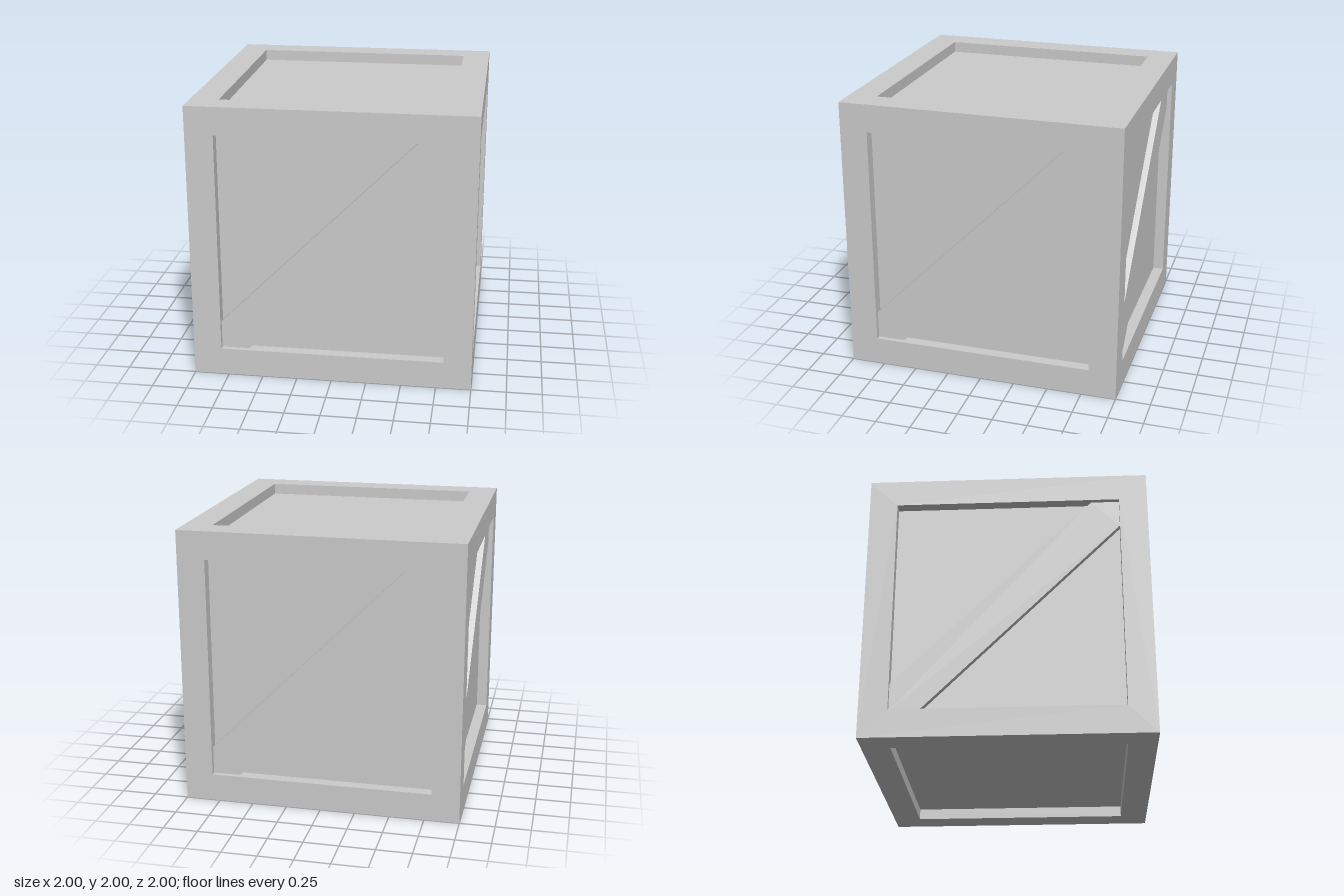
import * as THREE from 'three';

const HALF = 1;       // half the crate's edge
const INNER = 0.8;    // half the frame opening
const PANEL = 0.92;   // distance of each recessed panel from the centre
const BRACE = 0.966;  // distance of each brace's outer face from the centre

function square(PathType, h) {
  return new PathType([[-h, -h], [h, -h], [h, h], [-h, h]].map(([x, y]) => new THREE.Vector2(x, y)));
}

export function createModel() {
  const model = new THREE.Group();
  model.name = 'crate';
  const solid = new THREE.MeshStandardMaterial({ color: 0xcccccc, flatShading: true });
  const open = new THREE.MeshStandardMaterial({ color: 0xcccccc, flatShading: true, side: THREE.DoubleSide });

  // Square border flush with the crate's outer face
  const border = square(THREE.Shape, HALF);
  border.holes.push(square(THREE.Path, INNER));
  const frameGeo = new THREE.ShapeGeometry(border).translate(0, 0, HALF);

  // Four inner walls of the recess
  const r = INNER * Math.SQRT2;
  const wallGeo = new THREE.CylinderGeometry(r, r, HALF - PANEL, 4, 1, true, Math.PI / 4)
    .rotateX(Math.PI / 2).translate(0, 0, (HALF + PANEL) / 2);

  // Recessed panel
  const panelGeo = new THREE.PlaneGeometry(2 * INNER, 2 * INNER).translate(0, 0, PANEL);

  // Diagonal plank, clipped to the corners of the opening
  const a = INNER, b = INNER - 0.2;
  const plank = new THREE.Shape([[-a, -a], [-b, -a], [a, b], [a, a], [b, a], [-a, -b]]
    .map(([x, y]) => new THREE.Vector2(x, y)));
  const braceGeo = new THREE.ExtrudeGeometry(plank, { depth: BRACE - PANEL, bevelEnabled: false })
    .translate(0, 0, PANEL);

  function addSide(name, rx, ry, braced) {
    const side = new THREE.Group();
    side.name = name;
    const add = (part, geometry, material) => {
      const mesh = new THREE.Mesh(geometry, material);
      mesh.name = part;
      side.add(mesh);
    };
    add('frame', frameGeo, solid);
    add('recessWalls', wallGeo, open);
    add('panel', panelGeo, solid);
    if (braced) add('diagonalBrace', braceGeo, solid);
    side.rotation.set(rx, ry, 0);
    side.position.y = HALF;
    model.add(side);
  }

  // Four braced sides, then plain top and bottom
  ['frontSide', 'leftSide', 'backSide', 'rightSide'].forEach((name, i) => addSide(name, 0, i * Math.PI / 2, true));
  addSide('topSide', -Math.PI / 2, 0, false);
  addSide('bottomSide', Math.PI / 2, 0, false);

  return model;
}
